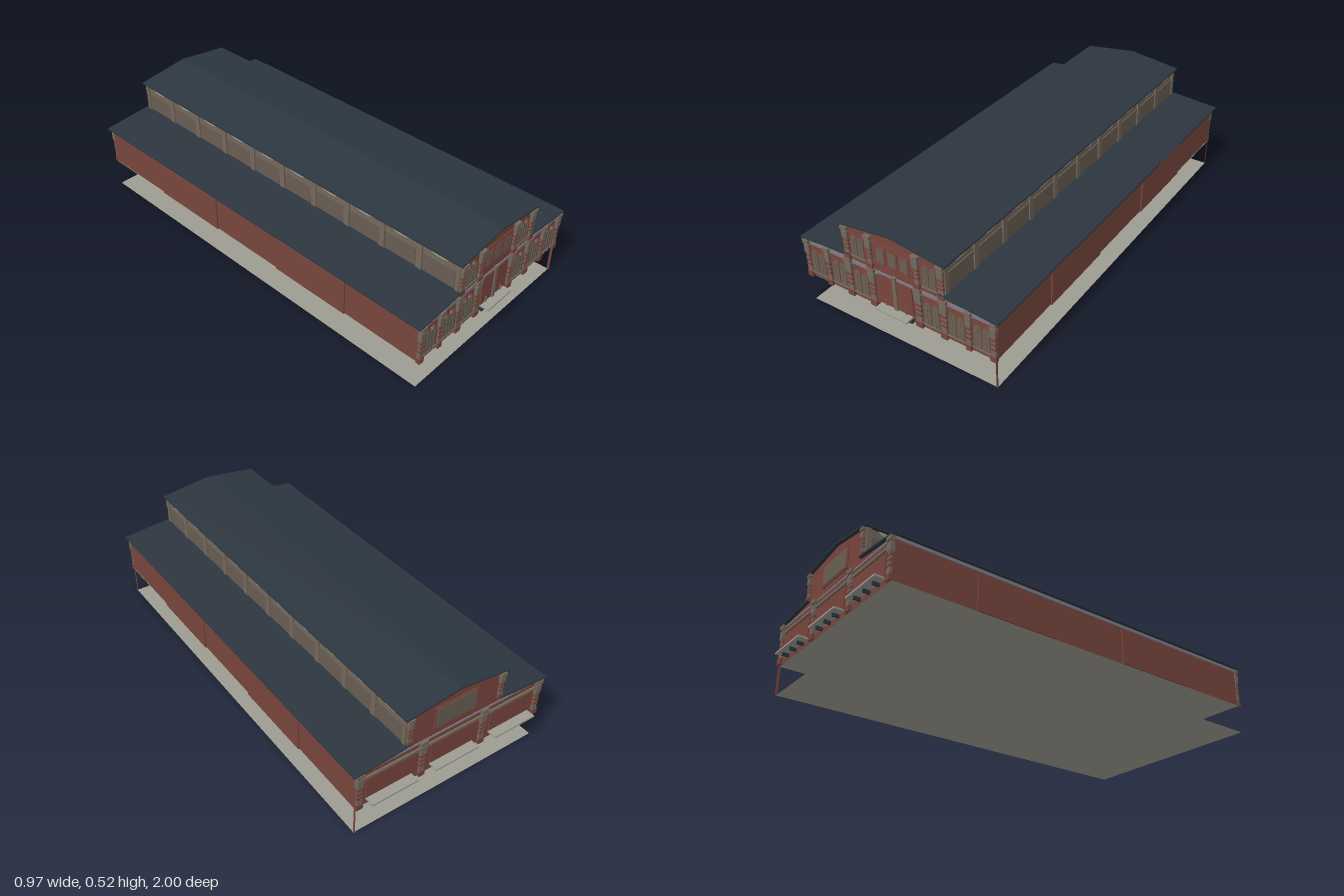
import * as THREE from 'three';

const mat = (name, color) => {
  const m = new THREE.MeshStandardMaterial({ color, side: THREE.DoubleSide });
  m.name = name;
  return m;
};

export function createModel() {
  const brick = mat('brick', 0x78453c);
  const stone = mat('stone', 0x73675a);
  const glass = mat('windowBrown', 0x685d52);
  const roofMat = mat('slateRoof', 0x2c363f);
  const trim = mat('greyTrim', 0x7d7b88);
  const concrete = mat('concrete', 0x9d9c92);
  const model = new THREE.Group();

  const add = (geo, material, name, parent = model) => {
    const m = new THREE.Mesh(geo, material);
    m.name = name;
    parent.add(m);
    return m;
  };
  // box given by its limits on each axis
  const box = (name, material, x0, x1, y0, y1, z0, z1, parent) => {
    const m = add(new THREE.BoxGeometry(x1 - x0, y1 - y0, z1 - z0), material, name, parent);
    m.position.set((x0 + x1) / 2, (y0 + y1) / 2, (z0 + z1) / 2);
    return m;
  };
  // outline in x and y, run along z
  const prism = (name, material, points, z0, z1) => {
    const shape = new THREE.Shape(points.map(p => new THREE.Vector2(...p)));
    const geo = new THREE.ExtrudeGeometry(shape, { depth: z1 - z0, bevelEnabled: false });
    return add(geo.translate(0, 0, z0), material, name);
  };
  const archShape = (w, y0, y1) => {
    const r = w / 2, s = new THREE.Shape();
    s.moveTo(-r, y0);
    s.lineTo(r, y0);
    s.lineTo(r, y1 - r);
    s.absarc(0, y1 - r, r, 0, Math.PI);
    s.closePath();
    return s;
  };
  const arch = (name, material, x, w, y0, y1, z, d) => {
    const geo = new THREE.ExtrudeGeometry(archShape(w, y0, y1), { depth: d, bevelEnabled: false, curveSegments: 8 });
    return add(geo.translate(x, 0, z), material, name);
  };

  const B = 0.135, F = 0.955;

  // ground sheet, floor and corner strips
  const flat = (name, y) => {
    const m = add(new THREE.PlaneGeometry(0.94, 2 * F).rotateX(-Math.PI / 2), concrete, name);
    m.position.y = y;
  };
  flat('groundSheet', 0);
  flat('floor', B - 0.001);
  for (const z of [-0.955, 0.955]) {
    const strip = add(new THREE.PlaneGeometry(0.012, B).rotateY(Math.PI / 2), brick, 'cornerStrip');
    strip.position.set(0.468, B / 2, z);
  }

  // tall hall with stone clerestory sides, and brick aisles
  prism('hall', [brick, stone], [[-0.24, B], [0.24, B], [0.24, 0.477], [0, 0.511], [-0.24, 0.477]], -F, F);
  for (const s of [-1, 1]) {
    prism('aisle', brick, [[s * 0.24, B], [s * 0.468, B], [s * 0.468, 0.325], [s * 0.24, 0.343]], -F, F);
    prism('aisleRoof', roofMat, [[s * 0.22, 0.343], [s * 0.487, 0.322], [s * 0.487, 0.328], [s * 0.22, 0.35]], -0.97, 0.968);
    box('eaveTrim', trim, s * 0.47 - 0.003, s * 0.47 + 0.003, 0.308, 0.322, -0.95, 0.95);

    // sliding side panels
    for (const z of [-0.385, 0.385])
      box('sidePanel', brick, s * 0.47 - 0.004, s * 0.47 + 0.004, B, 0.3, z - 0.195, z + 0.195);

    // clerestory windows with a pale curved panel above each
    for (let i = 0; i < 10; i++) {
      const z = (i - 4.5) * 0.19;
      box('clerestoryWindow', glass, s * 0.242 - 0.003, s * 0.242 + 0.003, 0.35, 0.435, z - 0.077, z + 0.077);
      const fan = new THREE.CircleGeometry(0.05, 12, Math.PI, Math.PI).scale(1, 0.34, 1).rotateY(s * Math.PI / 2);
      add(fan, concrete, 'clerestoryFan').position.set(s * 0.2455, 0.476, z);
    }
    for (let i = 0; i < 11; i++) {
      const z = (i - 5) * 0.19;
      box('clerestoryPier', stone, s * 0.243 - 0.005, s * 0.243 + 0.005, 0.343, 0.476, Math.max(z - 0.014, -F), Math.min(z + 0.014, F));
    }
  }
  prism('hallRoof', roofMat, [[-0.256, 0.479], [0, 0.512], [0.256, 0.479], [0.256, 0.486], [0, 0.519], [-0.256, 0.486]], -0.97, 0.968);

  // banded pilaster: brick core, stone blocks and a wider cap
  const pilaster = (x, w, y0, y1, side) => {
    const g = new THREE.Group();
    g.name = 'pilaster';
    model.add(g);
    const part = (name, m, ww, a, b, d) => {
      const z = [side * (F - 0.005), side * (F + d)].sort((p, q) => p - q);
      box(name, m, x - ww / 2, x + ww / 2, a, b, z[0], z[1], g);
    };
    const h = y1 - y0;
    part('shaft', stone, w * 0.85, y0, y1, 0.01);
    part('base', brick, w, y0, y0 + h * 0.14, 0.013);
    for (const t of [0.3, 0.42, 0.54]) part('brickBand', brick, w * 0.87, y0 + h * t, y0 + h * (t + 0.06), 0.0115);
    part('neck', stone, w, y0 + h * 0.64, y0 + h * 0.86, 0.014);
    part('cap', stone, w * 1.15, y1 - h * 0.1, y1, 0.017);
  };
  // pair of arched windows in a brick surround
  const windowPair = (x, w, y0, y1) => {
    box('windowSurround', brick, x - w / 2 - 0.006, x + w / 2 + 0.006, y0 - 0.008, y1 - 0.035, F, F + 0.004);
    box('windowSill', stone, x - w / 2 - 0.004, x + w / 2 + 0.004, y0 - 0.008, y0 - 0.002, F, F + 0.009);
    for (const s of [-1, 1]) {
      arch('archHood', brick, x + s * w / 4, w * 0.5, y0, y1 + 0.006, F, 0.004);
      arch('archWindow', glass, x + s * w / 4, w * 0.43, y0, y1, F, 0.007);
      box('windowMullion', stone, x + s * w / 4 - 0.001, x + s * w / 4 + 0.001, y0, y1 - 0.004, F, F + 0.009);
    }
  };

  // front wall
  box('frontBand', trim, -0.465, 0.465, 0.3, 0.318, F, F + 0.004);
  for (const s of [-1, 1]) {
    pilaster(s * 0.461, 0.026, B, 0.322, 1);
    pilaster(s * 0.35, 0.024, B, 0.322, 1);
    for (const x of [0.235, 0.115]) {
      pilaster(s * x, 0.032, B, 0.325, 1);
      pilaster(s * (x === 0.235 ? 0.231 : x), 0.028, 0.325, 0.478, 1);
    }
    windowPair(s * 0.408, 0.076, 0.165, 0.272);
    windowPair(s * 0.292, 0.076, 0.165, 0.272);
    windowPair(s * 0.175, 0.076, 0.165, 0.272);
    windowPair(s * 0.175, 0.068, 0.35, 0.445);
    box('entranceDoor', brick, s * 0.045 - 0.038, s * 0.045 + 0.038, 0.166, 0.308, F, F + 0.006);
    box('canopyPost', stone, s * 0.05 - 0.002, s * 0.05 + 0.002, 0.166, 0.195, F + 0.006, F + 0.012);
  }
  box('centrePier', stone, -0.009, 0.009, 0.16, 0.325, F, F + 0.012);
  box('gablePanel', brick, -0.095, 0.095, 0.34, 0.458, F, F + 0.004);
  for (const x of [-0.058, 0, 0.058]) {
    box('gableWindowFrame', brick, x - 0.023, x + 0.023, 0.363, 0.443, F, F + 0.007);
    box('gableWindow', glass, x - 0.018, x + 0.018, 0.37, 0.436, F, F + 0.009);
  }
  box('frontStep', concrete, -0.08, 0.08, 0.156, 0.164, F, 1);
  box('frontStepBase', roofMat, -0.08, 0.08, B, 0.153, F, F + 0.015);

  // back wall with three loading bays
  for (const x of [-0.455, -0.155, 0.155, 0.455]) pilaster(x, 0.03, B, 0.322, -1);
  box('backBeam', stone, -0.465, 0.465, 0.278, 0.29, -F - 0.009, -F);
  box('backBand', trim, -0.465, 0.465, 0.312, 0.32, -F - 0.004, -F);
  for (const s of [-1, 1]) pilaster(s * 0.229, 0.024, 0.345, 0.476, -1);
  box('backWindowFrame', brick, -0.108, 0.108, 0.354, 0.461, -F - 0.005, -F);
  box('backWindow', glass, -0.098, 0.098, 0.361, 0.454, -F - 0.008, -F);
  for (const x of [-0.31, 0, 0.31]) {
    box('bayDoor', brick, x - 0.11, x + 0.11, 0.172, 0.272, -F - 0.005, -F);
    box('dockSlab', concrete, x - 0.11, x + 0.11, 0.161, 0.169, -1, -F);
    for (const dx of [-0.07, 0, 0.07])
      box('dockBracket', roofMat, x + dx - 0.004, x + dx + 0.004, 0.146, 0.161, -0.985, -F);
  }
  return model;
}
